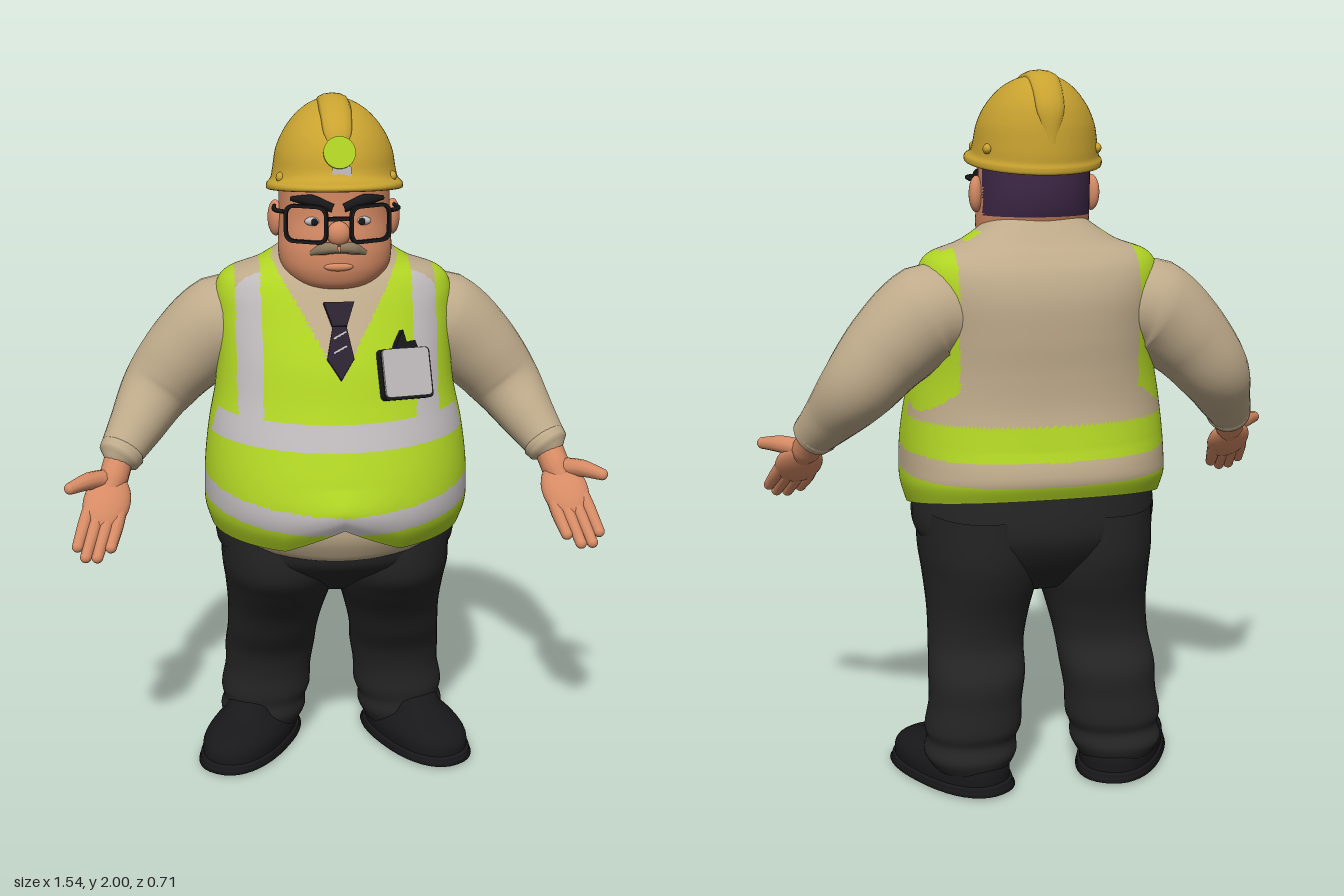
import * as THREE from 'three';
import { mergeVertices } from 'three/addons/utils/BufferGeometryUtils.js';

const mat = (name, color) => {
  const m = new THREE.MeshStandardMaterial({ color, side: THREE.DoubleSide });
  m.name = name;
  return m;
};
const V = (a) => new THREE.Vector3(a[0], a[1], a[2]);

// Smooth closed rings stacked upward; section = [y, halfWidth, zFront, zBack, centreX]
function loft(sections, { around = 48, steps = 6, power = 2, backPower = power, warp, paint = () => 0 } = {}) {
  const n = sections.length, rows = (n - 1) * steps, pos = [], buckets = [];
  const at = (k, c) => sections[Math.max(0, Math.min(n - 1, k))][c] || 0;
  for (let i = 0; i <= rows; i++) {
    const k = Math.min(n - 2, Math.floor(i / steps)), t = i / steps - k;
    const s = [0, 1, 2, 3, 4].map((c) => {
      const p = at(k - 1, c), q = at(k, c), r = at(k + 1, c), u = at(k + 2, c);
      return q + 0.5 * t * (r - p + t * (2 * p - 5 * q + 4 * r - u + t * (3 * (q - r) + u - p)));
    });
    for (let j = 0; j < around; j++) {
      const a = (j / around) * Math.PI * 2, sn = Math.sin(a), cs = Math.cos(a);
      const e = 2 / (cs < 0 ? backPower : power);
      const v = new THREE.Vector3(
        s[4] + s[1] * Math.sign(sn) * Math.abs(sn) ** e, s[0],
        (s[2] + s[3]) / 2 + ((s[2] - s[3]) / 2) * Math.sign(cs) * Math.abs(cs) ** e);
      if (warp) warp(v);
      pos.push(v.x, v.y, v.z);
    }
  }
  for (let i = 0; i < rows; i++) for (let j = 0; j < around; j++) {
    const a = i * around + j, b = i * around + ((j + 1) % around), c = a + around, d = b + around;
    for (const f of [[a, b, d], [a, d, c]]) {
      const mid = [0, 1, 2].map((q) => (pos[f[0] * 3 + q] + pos[f[1] * 3 + q] + pos[f[2] * 3 + q]) / 3);
      (buckets[paint(...mid)] ||= []).push(...f);
    }
  }
  const g = new THREE.BufferGeometry(), index = [];
  g.setAttribute('position', new THREE.Float32BufferAttribute(pos, 3));
  buckets.forEach((b, m) => {
    g.addGroup(index.length, b.length, m);
    for (const q of b) index.push(q);
  });
  g.setIndex(index);
  g.computeVertexNormals();
  return g;
}

// Tube whose radius follows a list; point = [x, y, z, radius]
function limb(points, seg = 20, sides = 14) {
  const curve = new THREE.CatmullRomCurve3(points.map(V));
  let g = new THREE.TubeGeometry(curve, seg, 1, sides);
  const p = g.attributes.position, v = new THREE.Vector3();
  for (let i = 0; i <= seg; i++) {
    const c = curve.getPointAt(i / seg), f = (i / seg) * (points.length - 1);
    const k = Math.min(points.length - 2, Math.floor(f));
    const r = THREE.MathUtils.lerp(points[k][3], points[k + 1][3], f - k);
    for (let j = 0; j <= sides; j++) {
      const q = i * (sides + 1) + j;
      v.fromBufferAttribute(p, q).sub(c).multiplyScalar(r).add(c);
      p.setXYZ(q, v.x, v.y, v.z);
    }
  }
  g.deleteAttribute('uv');
  g.deleteAttribute('normal');
  g = mergeVertices(g, 1e-5);
  g.computeVertexNormals();
  return g;
}

function roundRect(w, h, r, Type = THREE.Shape) {
  const s = new Type(), x = w / 2, y = h / 2;
  s.moveTo(-x + r, -y);
  s.lineTo(x - r, -y); s.quadraticCurveTo(x, -y, x, -y + r);
  s.lineTo(x, y - r); s.quadraticCurveTo(x, y, x - r, y);
  s.lineTo(-x + r, y); s.quadraticCurveTo(-x, y, -x, y - r);
  s.lineTo(-x, -y + r); s.quadraticCurveTo(-x, -y, -x + r, -y);
  return s;
}
const plate = (shape, depth) => new THREE.ExtrudeGeometry(shape, { depth, bevelEnabled: false });
const poly = (pts) => new THREE.Shape(pts.map((p) => new THREE.Vector2(p[0], p[1])));

export function createModel() {
  const root = new THREE.Group();
  const lime = mat('lime', 0xb0d424), silver = mat('silver', 0xbfbabb), beige = mat('beige', 0xbfab8b);
  const yellow = mat('hatYellow', 0xc9a330), skin = mat('skin', 0xd58a64), trouser = mat('charcoal', 0x242425);
  const purple = mat('hairPurple', 0x3f2848), black = mat('black', 0x18181a), grey = mat('moustacheGrey', 0x8c7a60);
  const tieDark = mat('tieDark', 0x2b2231);
  const add = (name, geo, m, parent = root, pos = [0, 0, 0], rot = [0, 0, 0], scale = [1, 1, 1]) => {
    const o = new THREE.Mesh(geo, m);
    o.name = name;
    o.position.set(...pos); o.rotation.set(...rot); o.scale.set(...scale);
    parent.add(o);
    return o;
  };
  const ball = new THREE.SphereGeometry(1, 24, 16);

  // Vest and shirt: 0 lime, 1 silver, 2 beige
  const paintVest = (x, y, z) => {
    const ax = Math.abs(x);
    if (y > 1.575 || (z > -0.06 && ax < (y - 1.27) * 0.6)) return 2;
    const dip = 0.04 * Math.max(0, z) / 0.35;
    if (y > 0.905 - dip && y < 0.97 - dip) return z > 0 ? 1 : 2;
    if (y < 1.065) return 0;
    if (z > 0.05 && y > 1.09 && y < 1.16) return 1;
    if (z > -0.14 && y > 1.16 && ax > 0.21 && ax < 0.28) return z > 0 ? 1 : 2;
    if (z > (y > 1.42 ? -0.14 : -0.06)) return 0;
    const trim = ax > 0.25 && ((y - 1.32) / 0.23) ** 2 + ((z + 0.13) / 0.165) ** 2 < 1;
    return trim ? 0 : 2;
  };
  add('vest', loft([
    [0.8, 0.362, 0.3, -0.33], [0.86, 0.378, 0.338, -0.35], [0.92, 0.379, 0.348, -0.348], [1.0, 0.375, 0.325, -0.33],
    [1.1, 0.362, 0.28, -0.308], [1.2, 0.342, 0.235, -0.305], [1.3, 0.334, 0.195, -0.31], [1.4, 0.337, 0.14, -0.308],
    [1.47, 0.335, 0.1, -0.288], [1.515, 0.305, 0.07, -0.258], [1.55, 0.215, 0.045, -0.225], [1.61, 0.125, 0.02, -0.18],
  ], {
    around: 176, steps: 10, power: 1.95, backPower: 2.45, paint: paintVest,
    warp: (v) => {
      // raised back hem and the notch at the front opening
      const fall = THREE.MathUtils.clamp(1 - (v.y - 0.8) / 0.2, 0, 1);
      const notch = v.z > 0 ? 0.085 * Math.max(0, 1 - Math.abs(v.x) / 0.16) : 0;
      v.y += fall * (notch + 0.065 * Math.max(0, -v.z / 0.33));
      v.z += fall * fall * notch * 0.45;
    },
  }), [lime, silver, beige]);
  add('shirtBelly', loft([
    [0.75, 0.18, 0.2, -0.28], [0.765, 0.29, 0.265, -0.3], [0.8, 0.34, 0.295, -0.31], [0.86, 0.36, 0.318, -0.31], [0.95, 0.355, 0.315, -0.3],
  ], { power: 1.95 }), beige);

  // Collar and tie
  for (const s of [1, -1])
    add('collarWing', plate(poly([[s * 0.008, 0.03], [s * 0.13, 0.14], [s * 0.105, 0.01], [s * 0.06, -0.02]]), 0.008), beige, root, [0, 1.435, 0.115], [-0.55, s * 0.25, 0]);
  const tie = new THREE.Group();
  tie.name = 'tie';
  tie.position.set(0, 1.44, 0.113);
  tie.rotation.x = -0.5;
  root.add(tie);
  add('knot', plate(poly([[-0.042, 0.022], [0.042, 0.022], [0.02, -0.045], [-0.02, -0.045]]), 0.024), tieDark, tie);
  add('blade', plate(poly([[-0.018, -0.04], [0.018, -0.04], [0.037, -0.135], [0, -0.195], [-0.037, -0.135]]), 0.016), tieDark, tie);
  for (const y of [-0.07, -0.11])
    add('tieStripe', new THREE.BoxGeometry(0.04, 0.005, 0.004), silver, tie, [0, y, 0.016], [0, 0, 0.5]);

  // Chest badge with clip
  const badge = new THREE.Group();
  badge.name = 'badge';
  badge.position.set(0.18, 1.28, 0.178);
  badge.rotation.set(-0.35, 0.45, -0.08, 'YXZ');
  root.add(badge);
  add('badgeBack', plate(roundRect(0.155, 0.14, 0.015), 0.025), black, badge, [0, 0, -0.018]);
  add('badgeFace', plate(roundRect(0.147, 0.132, 0.015), 0.006), silver, badge, [-0.002, 0.003, 0.007]);
  add('badgeClip', plate(poly([[-0.035, 0.06], [0.045, 0.06], [0.035, 0.09], [0.008, 0.085], [0, 0.12], [-0.02, 0.09]]), 0.02), black, badge, [0, 0, -0.012]);

  // Head with hair painted on the back
  add('head', loft([
    [1.46, 0.08, 0.02, -0.13], [1.485, 0.09, 0.06, -0.15], [1.507, 0.125, 0.097, -0.16], [1.545, 0.15, 0.114, -0.17], [1.59, 0.158, 0.117, -0.18],
    [1.64, 0.156, 0.111, -0.197], [1.7, 0.154, 0.1, -0.205], [1.8, 0.154, 0.1, -0.205],
  ], { around: 72, steps: 8, power: 2.1, paint: (x, y, z) => (z < -0.085 && y > 1.615 ? 1 : 0) }), [skin, purple]);
  add('nose', ball, skin, root, [0, 1.655, 0.11], [0, 0, 0], [0.032, 0.034, 0.026]);
  add('lowerLip', ball, skin, root, [0, 1.565, 0.112], [0, 0, 0], [0.04, 0.012, 0.012]);
  for (const s of [1, -1]) {
    add('ear', ball, skin, root, [s * 0.163, 1.67, -0.055], [0, s * -0.4, 0], [0.02, 0.05, 0.03]);
    add('moustacheHalf', limb([[0, 1.618, 0.122, 0.014], [s * 0.035, 1.616, 0.114, 0.017], [s * 0.075, 1.6, 0.095, 0.007]], 10, 8), grey);
    add('eye', ball, silver, root, [s * 0.068, 1.685, 0.085], [0, 0, 0], [0.022, 0.012, 0.014]);
    add('pupil', ball, black, root, [s * 0.064, 1.685, 0.097], [0, 0, 0], [0.009, 0.01, 0.006]);
    add('eyebrow', limb([[s * 0.014, 1.722, 0.098, 0.012], [s * 0.07, 1.74, 0.088, 0.017], [s * 0.125, 1.742, 0.057, 0.006]], 10, 8), black);
    const rim = roundRect(0.125, 0.105, 0.03);
    rim.holes.push(roundRect(0.107, 0.087, 0.024, THREE.Path));
    add('glassesRim', plate(rim, 0.01), black, root, [s * 0.085, 1.68, 0.095], [0, s * 0.42, 0]);
    add('glassesArm', limb([[s * 0.145, 1.71, 0.073, 0.006], [s * 0.166, 1.71, 0.05, 0.007], [s * 0.165, 1.705, -0.06, 0.005]], 10, 6), black);
  }
  add('glassesBridge', new THREE.BoxGeometry(0.056, 0.01, 0.012), black, root, [0, 1.698, 0.125]);

  // Hard hat
  const hat = new THREE.Group();
  hat.name = 'hardHat';
  root.add(hat);
  add('shell', loft([
    [1.763, 0.15, 0.1, -0.2], [1.755, 0.184, 0.172, -0.25], [1.77, 0.188, 0.178, -0.258], [1.785, 0.176, 0.14, -0.254], [1.81, 0.17, 0.125, -0.254],
    [1.86, 0.16, 0.113, -0.248], [1.91, 0.136, 0.085, -0.235], [1.955, 0.097, 0.03, -0.207], [1.982, 0.05, -0.05, -0.17], [1.987, 0.001, -0.109, -0.111],
  ], { around: 64, steps: 5, warp: (v) => { if (v.y < 1.85) v.y += 0.115 * (v.z + 0.02) * Math.min(1, (1.85 - v.y) / 0.06); } }), yellow, hat);
  add('crest', limb([
    [0, 1.84, 0.108, 0.006], [0, 1.905, 0.08, 0.018], [0, 1.953, 0.02, 0.02], [0, 1.98, -0.075, 0.02],
    [0, 1.972, -0.165, 0.02], [0, 1.91, -0.226, 0.018], [0, 1.81, -0.248, 0.006]], 32, 12), yellow, hat, [0, 0, 0], [0, 0, 0], [2.2, 1, 1]);
  add('hatPatch', new THREE.CylinderGeometry(0.043, 0.043, 0.008, 24), lime, hat, [0.002, 1.872, 0.114], [1.25, 0, 0]);
  add('hatPatchBase', plate(roundRect(0.05, 0.03, 0.006), 0.008), silver, hat, [0.008, 1.822, 0.118], [-0.15, 0, 0]);
  for (const s of [1, -1]) for (const [x, z] of [[0.152, 0.03], [0.152, -0.15]])
    add('hatLug', ball, yellow, hat, [s * x, 1.795, z], [0, 0, 0], [0.012, 0.014, 0.018]);

  // Trouser seat
  add('trouserSeat', loft([
    [0.55, 0.02, -0.03, -0.13], [0.575, 0.13, 0.03, -0.2], [0.64, 0.27, 0.13, -0.265], [0.71, 0.334, 0.222, -0.312],
    [0.77, 0.352, 0.25, -0.327], [0.87, 0.342, 0.24, -0.315],
  ], { power: 2.1 }), trouser);

  // One side of the limbs, mirrored for the other
  const side = new THREE.Group();
  side.name = 'leftLimbs';
  add('trouserLeg', loft([
    [0.06, 0.11, -0.06, -0.285, 0.215], [0.1, 0.132, -0.045, -0.3, 0.217], [0.14, 0.128, -0.05, -0.285, 0.212], [0.18, 0.138, -0.045, -0.295, 0.208],
    [0.25, 0.133, -0.045, -0.29, 0.2], [0.33, 0.138, -0.025, -0.287, 0.193], [0.41, 0.137, 0.025, -0.247, 0.186],
    [0.5, 0.146, 0.078, -0.254, 0.175], [0.6, 0.163, 0.158, -0.288, 0.165], [0.68, 0.17, 0.212, -0.307, 0.166], [0.8, 0.168, 0.215, -0.31, 0.166],
  ], { around: 40, power: 2.15 }), trouser, side);
  const shoe = new THREE.Group();
  shoe.name = 'shoe';
  shoe.position.set(0.256, 0, -0.105);
  shoe.rotation.y = 0.5;
  side.add(shoe);
  add('shoeUpper', loft([
    [0.02, 0.114, 0.215, -0.203], [0.06, 0.116, 0.212, -0.203], [0.09, 0.104, 0.18, -0.195], [0.12, 0.085, 0.1, -0.19], [0.17, 0.07, 0.03, -0.16], [0.18, 0.001, -0.06, -0.062],
  ], { around: 40, steps: 4, power: 2.3 }), black, shoe);
  add('shoeSole', loft([
    [0, 0.001, 0.006, 0.004], [0.0005, 0.116, 0.218, -0.208], [0.015, 0.121, 0.224, -0.212], [0.03, 0.12, 0.222, -0.21], [0.034, 0.1, 0.2, -0.19],
  ], { around: 40, steps: 2, power: 2.3, warp: (v) => { v.y = Math.max(0, v.y); } }), black, shoe);

  add('sleeve', limb([
    [0.19, 1.365, -0.14, 0.11], [0.31, 1.355, -0.135, 0.14], [0.42, 1.268, -0.137, 0.126], [0.508, 1.165, -0.128, 0.108],
    [0.572, 1.072, -0.055, 0.084], [0.622, 1.002, 0.008, 0.06]], 30, 28), beige, side);
  add('cuff', limb([
    [0.6, 1.03, -0.015, 0.05], [0.605, 1.022, -0.008, 0.067], [0.63, 0.99, 0.022, 0.062], [0.634, 0.984, 0.026, 0.03]], 12, 24), beige, side);

  // Open hand: local y runs to the fingertips, x to the thumb, palm on -z
  const hand = new THREE.Group();
  hand.name = 'hand';
  const Y = V([0.07, -0.2, 0.21]).normalize(), X = V([0.97, 0.24, -0.1]);
  X.addScaledVector(Y, -X.dot(Y)).normalize();
  hand.quaternion.setFromRotationMatrix(new THREE.Matrix4().makeBasis(X, Y, X.clone().cross(Y)));
  hand.position.set(0.625, 0.985, 0.02);
  side.add(hand);
  add('wrist', limb([[0, -0.02, 0, 0.042], [0, 0.05, 0, 0.042], [0, 0.12, 0, 0.02]], 10), skin, hand);
  add('palm', ball, skin, hand, [0, 0.125, 0], [0, 0, 0], [0.066, 0.092, 0.031]);
  [[-0.043, 0.275], [-0.016, 0.313], [0.013, 0.32], [0.041, 0.295]].forEach(([x, len]) => {
    add('finger', limb([[x, 0.12, 0, 0.019], [x * 1.05, 0.2, -0.002, 0.0195], [x * 1.06, len - 0.014, -0.01, 0.016]], 14, 10), skin, hand);
    add('fingertip', ball, skin, hand, [x * 1.06, len - 0.014, -0.01], [0, 0, 0], [0.016, 0.016, 0.016]);
  });
  add('thumb', limb([[0.015, 0.055, -0.005, 0.027], [0.06, 0.088, -0.03, 0.025], [0.103, 0.135, -0.055, 0.017]], 14, 10), skin, hand);
  add('thumbTip', ball, skin, hand, [0.103, 0.135, -0.055], [0, 0, 0], [0.017, 0.017, 0.017]);

  root.add(side);
  const other = side.clone();
  other.name = 'rightLimbs';
  other.scale.x = -1;
  root.add(other);
  return root;
}
